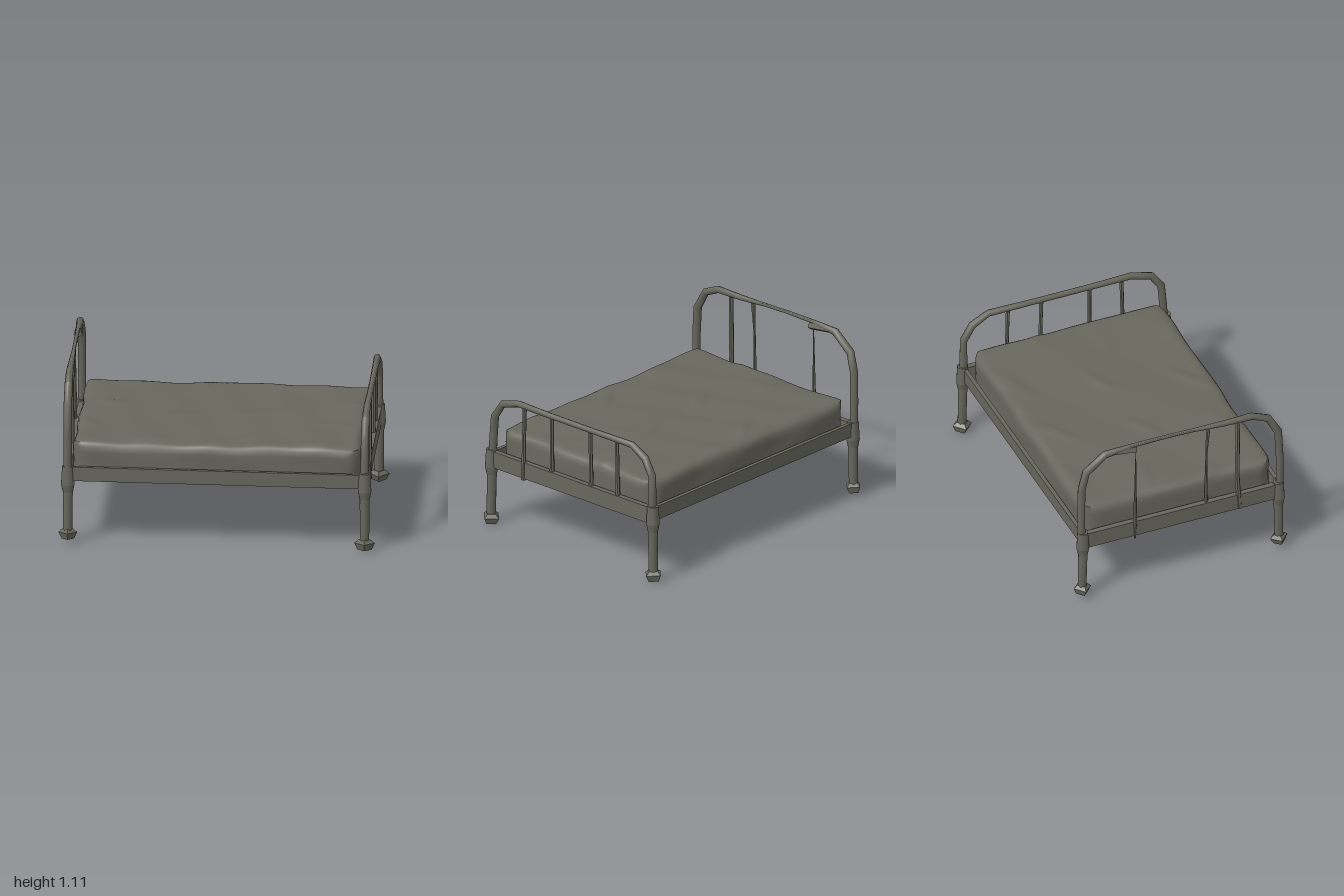
import * as THREE from 'three';
import { mergeVertices, toCreasedNormals } from 'three/addons/utils/BufferGeometryUtils.js';

const grey = new THREE.MeshStandardMaterial({ color: 0x68675d });
grey.name = 'drab grey';

function add(parent, name, geometry, x = 0, y = 0, z = 0) {
  const mesh = new THREE.Mesh(geometry, grey);
  mesh.name = name;
  mesh.position.set(x, y, z);
  parent.add(mesh);
  return mesh;
}

// Bent pipe in a plane of constant x; each point is [z, y, radius]
function pipe(points, sides = 8) {
  const pos = [], index = [];
  const n = points.length;
  points.forEach(([z, y, r], i) => {
    const a = points[Math.max(i - 1, 0)], b = points[Math.min(i + 1, n - 1)];
    const t = new THREE.Vector2(b[0] - a[0], b[1] - a[1]).normalize();
    for (let s = 0; s < sides; s++) {
      const ang = (s / sides) * Math.PI * 2;
      const c = Math.cos(ang) * r, d = Math.sin(ang) * r;
      pos.push(d, y + t.x * c, z - t.y * c);
    }
  });
  for (let i = 0; i < n - 1; i++) {
    for (let s = 0; s < sides; s++) {
      const p = i * sides + s, q = i * sides + ((s + 1) % sides);
      index.push(p, p + sides, q, q, p + sides, q + sides);
    }
  }
  for (let s = 1; s < sides - 1; s++) {
    const e = (n - 1) * sides;
    index.push(0, s, s + 1, e, e + s + 1, e + s);
  }
  const g = new THREE.BufferGeometry();
  g.setAttribute('position', new THREE.Float32BufferAttribute(pos, 3));
  g.setIndex(index);
  return toCreasedNormals(g, 0.9);
}

// Soft, lumpy mattress: a box rounded at its corners and top edge, then rumpled
function mattressGeometry() {
  const hx = 0.912, hz = 0.652, y0 = 0.405, y1 = 0.652;
  const g = new THREE.BoxGeometry(2 * hx, y1 - y0, 2 * hz, 60, 8, 44);
  g.deleteAttribute('normal');
  g.deleteAttribute('uv');
  const m = mergeVertices(g);
  const p = m.attributes.position, v = new THREE.Vector3(), core = new THREE.Vector3();
  const corner = 0.1, edge = 0.05, hy = (y1 - y0) / 2;
  const inside = (a, h, r) => THREE.MathUtils.clamp(a, r - h, h - r);
  const pullIn = (r) => {
    const d = v.clone().sub(core);
    if (d.length() > r) v.copy(core).add(d.setLength(r));
  };
  for (let i = 0; i < p.count; i++) {
    v.fromBufferAttribute(p, i);
    // Round the plan outline, then the top edge
    core.set(inside(v.x, hx, corner), v.y, inside(v.z, hz, corner));
    pullIn(corner);
    core.set(inside(v.x, hx, edge), Math.min(v.y, hy - edge), inside(v.z, hz, edge));
    pullIn(edge);
    // Rumples and creases on the top, a slight wave on the sides
    const { x, z } = v;
    const lift = THREE.MathUtils.smoothstep(v.y, 0, hy);
    const crease = Math.max(0, Math.sin(14 * z + 3 * Math.sin(3 * x)) * Math.sin(6 * x + 2 * z)) ** 4;
    v.y += lift * (0.002 - 0.006 * x + 0.004 * Math.sin(5 * x + 9 * z)
      + 0.003 * Math.sin(17 * x - 6 * z) + 0.01 * crease);
    const side = THREE.MathUtils.smoothstep(v.y, -hy, 0);
    v.z += side * 0.005 * Math.sin(9 * x + 12 * v.y) * (z / hz);
    v.x += side * 0.005 * Math.sin(11 * z + 9 * v.y) * (x / hx);
    p.setXYZ(i, v.x, v.y + (y0 + y1) / 2, v.z);
  }
  return toCreasedNormals(m, 0.9);
}

// Legs, sleeves and splayed feet at both corners of one bed end
function corners(end, floor, z, size) {
  const diamond = (top, bottom, h) =>
    toCreasedNormals(new THREE.CylinderGeometry(top * size, bottom * size, h, 4), 0.3);
  for (const s of [1, -1]) {
    const leg = new THREE.Group();
    leg.name = s > 0 ? 'frontLeg' : 'backLeg';
    leg.position.z = z * s;
    end.add(leg);
    add(leg, 'post', pipe([[0.005 * s, floor + 0.03, 0.029], [0, 0.3, 0.031], [-0.005 * s, 0.45, 0.034]]));
    add(leg, 'bracket', new THREE.CylinderGeometry(0.043, 0.033, 0.05, 8), 0, 0.365, 0);
    add(leg, 'sleeve', new THREE.CylinderGeometry(0.036, 0.043, 0.12, 8), 0, 0.45, 0);
    const foot = new THREE.Group();
    foot.name = 'foot';
    foot.position.set(0, floor + 0.004, 0.006 * s);
    foot.rotation.x = -0.08 * s;
    leg.add(foot);
    add(foot, 'footTop', diamond(0.038, 0.066, 0.022), 0, 0.054, 0);
    add(foot, 'footSole', diamond(0.066, 0.044, 0.043), 0, 0.0215, 0);
  }
}

export function createModel() {
  const bed = new THREE.Group();
  bed.name = 'bed';
  add(bed, 'mattress', mattressGeometry());

  // Frame
  for (const s of [1, -1]) {
    const rail = add(bed, s > 0 ? 'frontRail' : 'backRail',
      new THREE.BoxGeometry(1.88, 0.092, 0.026), 0, 0.456, 0.68 * s);
    rail.rotation.z = -0.006;
    rail.rotation.y = -0.007 * s;
    add(bed, s > 0 ? 'footRail' : 'headRail',
      new THREE.BoxGeometry(0.036, 0.11, 1.34), 0.942 * s, 0.445, 0);
  }

  // Tall head end, its top bar worn thin in the middle
  const head = new THREE.Group();
  head.name = 'headEnd';
  head.position.x = -0.94;
  bed.add(head);
  corners(head, 0.025, 0.672, 0.9);
  add(head, 'hoop', pipe([
    [0.68, 0.45, 0.026], [0.681, 0.7, 0.026], [0.67, 0.91, 0.027], [0.6, 1.035, 0.025],
    [0.49, 1.083, 0.023], [0.3, 1.083, 0.019], [0.08, 1.092, 0.012], [-0.1, 1.097, 0.012],
    [-0.32, 1.095, 0.014], [-0.52, 1.08, 0.025], [-0.65, 0.975, 0.026],
    [-0.68, 0.85, 0.026], [-0.682, 0.65, 0.026], [-0.68, 0.45, 0.026],
  ]));
  add(head, 'brokenJoint', pipe([[-0.31, 1.066, 0.03], [-0.4, 1.074, 0.024], [-0.5, 1.082, 0.02]], 5));
  add(head, 'spindle', pipe([[0.4, 0.39, 0.017], [0.385, 0.65, 0.016], [0.39, 1.08, 0.015]], 6), -0.01);
  add(head, 'wornSpindle', pipe([[0.175, 0.48, 0.013], [0.175, 0.7, 0.009], [0.178, 0.88, 0.007], [0.19, 1.08, 0.015]], 6));
  add(head, 'brokenSpindle', pipe([[-0.32, 0.37, 0.006], [-0.32, 0.5, 0.014], [-0.318, 0.72, 0.009], [-0.315, 1.06, 0.002]], 6), -0.018);

  // Low foot end
  const foot = new THREE.Group();
  foot.name = 'footEnd';
  foot.position.x = 0.942;
  bed.add(foot);
  corners(foot, 0, 0.696, 1);
  add(foot, 'hoop', pipe([
    [0.69, 0.45, 0.027], [0.68, 0.6, 0.026], [0.668, 0.74, 0.026], [0.6, 0.84, 0.024],
    [0.46, 0.88, 0.022], [0.2, 0.876, 0.019], [-0.2, 0.876, 0.019], [-0.52, 0.878, 0.022],
    [-0.63, 0.815, 0.025], [-0.69, 0.71, 0.025], [-0.69, 0.58, 0.026], [-0.69, 0.45, 0.027],
  ]));
  for (const [low, top, bottom, out] of [[0.41, 0.4, 0.38, 0.012], [0.175, 0.175, 0.47, 0],
    [-0.165, -0.155, 0.47, 0], [-0.395, -0.385, 0.47, 0]]) {
    add(foot, 'spindle', pipe([[low, bottom, 0.016], [(low + top) / 2, 0.68, 0.013], [top, 0.87, 0.014]], 6), out);
  }
  return bed;
}
